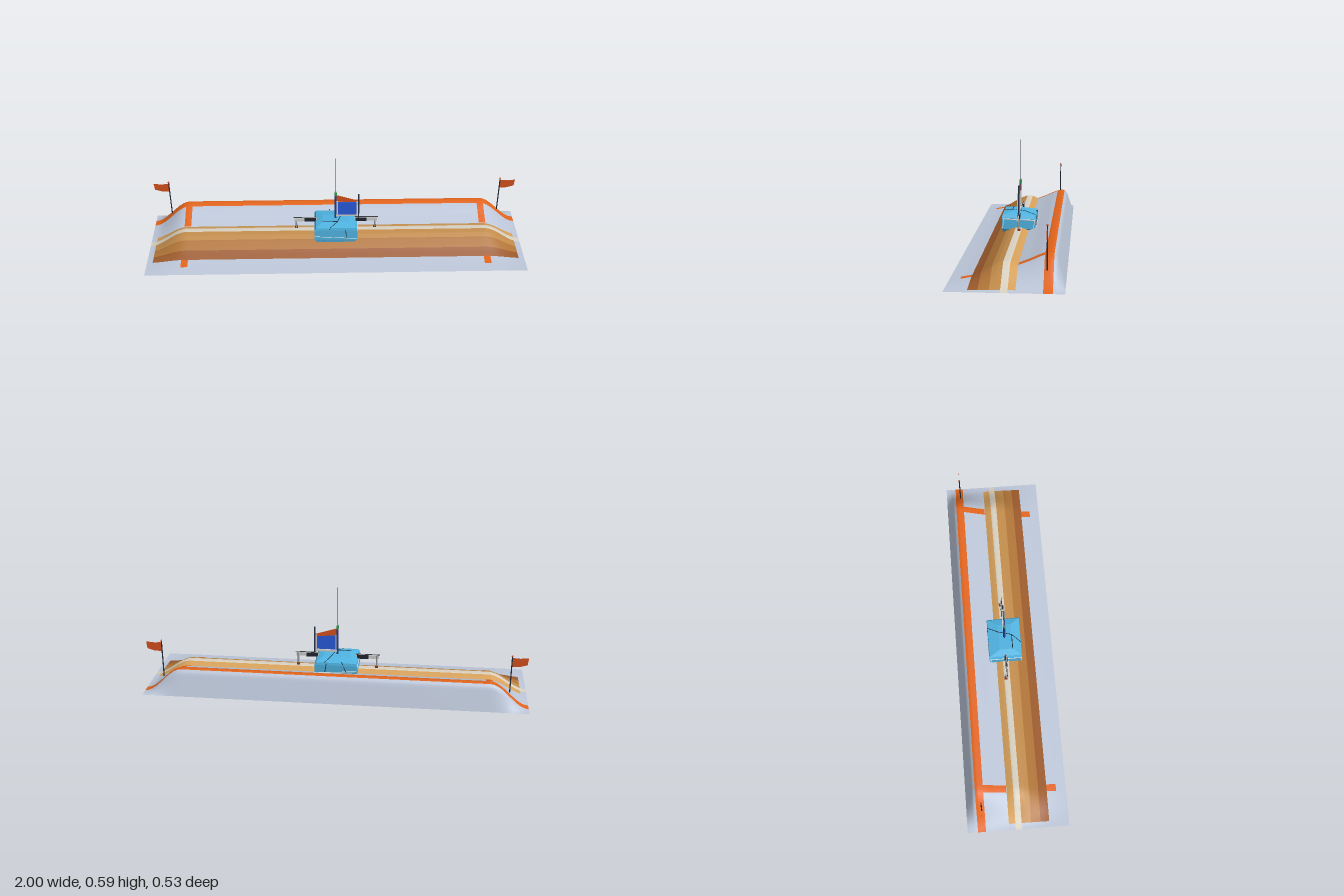
import * as THREE from 'three';
import { ConvexGeometry } from 'three/addons/geometries/ConvexGeometry.js';

const V = (x, y, z) => new THREE.Vector3(x, y, z);
const BASE = 0.055;
// hull cross-section as [z, y], front to back
const PROFILE = [
  [0.262, 0.055], [0.2, 0.065], [0.16, 0.073], [0.13, 0.09], [0.1, 0.109], [0.07, 0.127], [0.04, 0.142],
  [0.015, 0.149], [-0.01, 0.149], [-0.03, 0.142], [-0.05, 0.133], [-0.1, 0.153], [-0.15, 0.176],
  [-0.18, 0.187], [-0.2, 0.19], [-0.213, 0.187], [-0.226, 0.172], [-0.245, 0.115], [-0.265, 0.055],
];

// height of the hull: the section, fading out toward both ends
function height(x, z) {
  let i = 0;
  while (i < PROFILE.length - 2 && z < PROFILE[i + 1][0]) i++;
  const [za, ya] = PROFILE[i], [zb, yb] = PROFILE[i + 1];
  const y = ya + (yb - ya) * THREE.MathUtils.clamp((z - za) / (zb - za), 0, 1);
  return BASE + (y - BASE) * (1 - THREE.MathUtils.smoothstep(Math.abs(x), 0.8, 1));
}

export function createModel() {
  const model = new THREE.Group();

  function add(name, geometry, color, double = false, flat = false) {
    const material = new THREE.MeshStandardMaterial({ color, flatShading: flat });
    if (double) material.side = THREE.DoubleSide;
    const mesh = new THREE.Mesh(geometry, material);
    mesh.name = name;
    model.add(mesh);
    return mesh;
  }

  function box(name, color, w, h, d, x, y, z) {
    return add(name, new THREE.BoxGeometry(w, h, d), color).position.set(x, y, z);
  }

  // round bar between two points
  function rod(name, color, a, b, r, sides = 10) {
    const mesh = add(name, new THREE.CylinderGeometry(r, r, a.distanceTo(b), sides), color);
    mesh.position.copy(a).add(b).multiplyScalar(0.5);
    mesh.quaternion.setFromUnitVectors(V(0, 1, 0), b.clone().sub(a).normalize());
  }

  // flat cloth in the xy plane
  function cloth(name, color, points, z) {
    const shape = new THREE.Shape(points.map(([x, y]) => new THREE.Vector2(x, y)));
    add(name, new THREE.ShapeGeometry(shape), color, true).position.z = z;
  }

  // patch of the hull surface following the height rule
  function skin(name, color, x0, x1, z0, z1, lift = 0) {
    const nx = Math.max(3, Math.ceil((x1 - x0) / 0.02));
    const nz = Math.max(2, Math.ceil((z1 - z0) / 0.005));
    const g = new THREE.PlaneGeometry(x1 - x0, z1 - z0, nx, nz);
    g.rotateX(-Math.PI / 2).translate((x0 + x1) / 2, 0, (z0 + z1) / 2);
    const p = g.attributes.position;
    for (let i = 0; i < p.count; i++) p.setY(i, height(p.getX(i), p.getZ(i)) + lift);
    g.computeVertexNormals();
    add(name, g, color, true);
  }

  // hull bands, back to front
  const GREY = 0xbcc6d8, ORANGE = 0xe2641c, CREAM = 0xd8d0c0;
  skin('backWall', GREY, -1, 1, -0.265, -0.212);
  skin('crestStripe', ORANGE, -1, 1, -0.212, -0.17);
  skin('rearSlope', GREY, -1, 1, -0.17, -0.05);
  skin('frontApron', GREY, -1, 1, 0.16, 0.262);
  skin('ridgeStripe', CREAM, -1, 1, -0.016, 0.016);
  const tans = [[-0.05, -0.016, 0xd6a05a], [0.016, 0.065, 0xc08a4a], [0.065, 0.115, 0xb07438], [0.115, 0.16, 0x9c5a2c]];
  for (const [z0, z1, color] of tans) {
    skin('ridgeSide', color, -0.97, 0.97, z0, z1);
    skin('ridgeEndLeft', GREY, 0.97, 1, z0, z1);
    skin('ridgeEndRight', GREY, -1, -0.97, z0, z1);
  }
  for (const s of [-1, 1]) {
    skin('rearCrossStripe', ORANGE, s * 0.8 - 0.018, s * 0.8 + 0.018, -0.17, -0.052, 0.001);
    skin('frontCrossStripe', ORANGE, s * 0.8 - 0.018, s * 0.8 + 0.018, 0.16, 0.21, 0.001);
  }

  // flat underside in long bands
  const bottoms = [
    [-0.265, -0.245, 0x5a4038], [-0.245, -0.03, 0x10485e], [-0.03, 0.03, 0x77787c],
    [0.03, 0.24, 0x10485e], [0.24, 0.262, 0x5a4038],
  ];
  for (const [z0, z1, color] of bottoms) {
    const g = new THREE.PlaneGeometry(2, z1 - z0).rotateX(Math.PI / 2);
    add('underside', g, color).position.set(0, BASE - 0.001, (z0 + z1) / 2);
  }

  // swept plates beside the float
  for (const s of [-1, 1]) {
    const plate = new THREE.Shape([[0.05, -0.05], [0.2, -0.04], [0.28, 0.08], [0.24, 0.11], [0.05, 0.03]]
      .map(([x, z]) => new THREE.Vector2(s * x, z)));
    add('keelPlate', new THREE.ShapeGeometry(plate).rotateX(Math.PI / 2), 0x16307a, true).position.y = 0.052;
  }

  // round float with a centre pin
  const floatProfile = [[0, 0.018], [0.062, 0.018], [0.068, 0.022], [0.074, 0.036], [0.074, 0.05], [0.07, 0.058], [0, 0.058]];
  add('float', new THREE.LatheGeometry(floatProfile.map(([r, y]) => new THREE.Vector2(r, y)), 32), 0xc88a14);
  rod('floatHub', 0x8a8a8a, V(0, 0.012, 0), V(0, 0.02, 0), 0.01);
  rod('floatPin', 0x222630, V(0, 0, 0), V(0, 0.02, 0), 0.003);

  // faceted cabin
  const corners = [];
  for (const s of [-1, 1]) {
    corners.push(
      V(s * 0.1, 0.122, 0.085), V(s * 0.113, 0.14, 0.088), V(s * 0.113, 0.2, 0.088), V(s * 0.105, 0.214, 0.086),
      V(s * 0.07, 0.223, 0.04), V(s * 0.07, 0.219, -0.03), V(s * 0.105, 0.205, -0.086),
      V(s * 0.113, 0.19, -0.088), V(s * 0.113, 0.14, -0.084), V(s * 0.1, 0.122, -0.08),
    );
  }
  add('cabin', new ConvexGeometry(corners), 0x4fb4e2, false, true);

  // cabin seams: pale on the sides, dark on the front, back and roof
  for (const s of [-1, 1]) {
    const x = s * 0.113;
    rod('paleSeam', 0xe4ecf0, V(x, 0.192, 0.086), V(x, 0.186, -0.086), 0.003, 6);
    rod('paleSeam', 0xe4ecf0, V(x, 0.2, 0.078), V(x, 0.142, 0.086), 0.002, 6);
    rod('paleSeam', 0xe4ecf0, V(x, 0.185, -0.082), V(x, 0.142, -0.074), 0.002, 6);
    rod('darkSeam', 0x1c2a38, V(-0.03, 0.213, s * 0.086), V(-0.06, 0.135, s * 0.086), 0.002, 6);
    rod('darkSeam', 0x1c2a38, V(0.05, 0.2, s * 0.088), V(0.06, 0.14, s * 0.086), 0.002, 6);
    rod('paleSeam', 0xe4ecf0, V(-0.11, 0.16, s * 0.087), V(0.11, 0.145, s * 0.087), 0.002, 6);
  }
  rod('darkSeam', 0x1c2a38, V(-0.03, 0.214, 0.084), V(0.01, 0.223, 0.04), 0.002, 6);
  rod('darkSeam', 0x1c2a38, V(0.01, 0.223, 0.04), V(0.03, 0.219, -0.03), 0.002, 6);
  rod('darkSeam', 0x1c2a38, V(0.03, 0.219, -0.03), V(0.06, 0.205, -0.085), 0.002, 6);
  rod('darkSeam', 0x1c2a38, V(-0.07, 0.223, 0.04), V(0.01, 0.223, 0.04), 0.002, 6);

  // side arms with sleeves and hanging feet
  for (const s of [-1, 1]) {
    box('arm', 0xc8c8c4, 0.12, 0.02, 0.01, s * 0.16, 0.212, 0);
    box('armSleeve', 0x20242c, 0.06, 0.022, 0.014, s * 0.135, 0.211, 0);
    rod('armRail', 0x3a4048, V(s * 0.1, 0.224, 0), V(s * 0.225, 0.224, 0), 0.002);
    rod('armPost', 0x9a9a9a, V(s * 0.21, 0.155, -0.004), V(s * 0.21, 0.222, -0.004), 0.0045);
    box('armFoot', 0x8c2c1c, 0.016, 0.009, 0.014, s * 0.21, 0.157, -0.007);
  }

  // mast with cap and whip, second pole, sail and pennant
  rod('mast', 0x1e3f94, V(0, 0.15, 0), V(0, 0.365, 0), 0.006);
  rod('mastCap', 0x2f9a48, V(0, 0.363, 0), V(0, 0.382, 0), 0.0065);
  rod('mastTip', 0x8c9a94, V(0, 0.382, 0), V(0, 0.388, 0), 0.004);
  rod('whip', 0x3c4450, V(0, 0.385, 0), V(0, 0.595, 0), 0.0012, 6);
  rod('sailPole', 0x2a3550, V(0.122, 0.2, 0), V(0.122, 0.37, 0), 0.004);
  box('sail', 0x2858d8, 0.105, 0.078, 0.006, 0.06, 0.283, 0.004);
  box('sailFootRail', 0xc8c8c4, 0.115, 0.01, 0.012, 0.06, 0.238, 0);
  for (const x of [0.008, 0.113]) box('sailEdge', 0xc8c8c4, 0.007, 0.09, 0.014, x, 0.282, 0.002);
  cloth('pennant', 0xd2501c, [[0.004, 0.325], [0.118, 0.318], [0.118, 0.33], [0.004, 0.366]], 0);

  // flags at both ends of the crest
  for (const s of [-1, 1]) {
    const x = s * 0.9;
    rod('flagPole', 0x20283a, V(x, 0.132, -0.184), V(x, 0.334, -0.184), 0.003);
    const knob = add('flagKnob', new THREE.SphereGeometry(0.005, 12, 8), 0xd2501c);
    knob.position.set(x, 0.334, -0.184);
    cloth('endFlag', 0xd2501c, [[x, 0.325], [x + s * 0.04, 0.322], [x + s * 0.082, 0.326],
      [x + s * 0.078, 0.288], [x + s * 0.04, 0.276], [x, 0.274]], -0.184);
  }
  return model;
}
